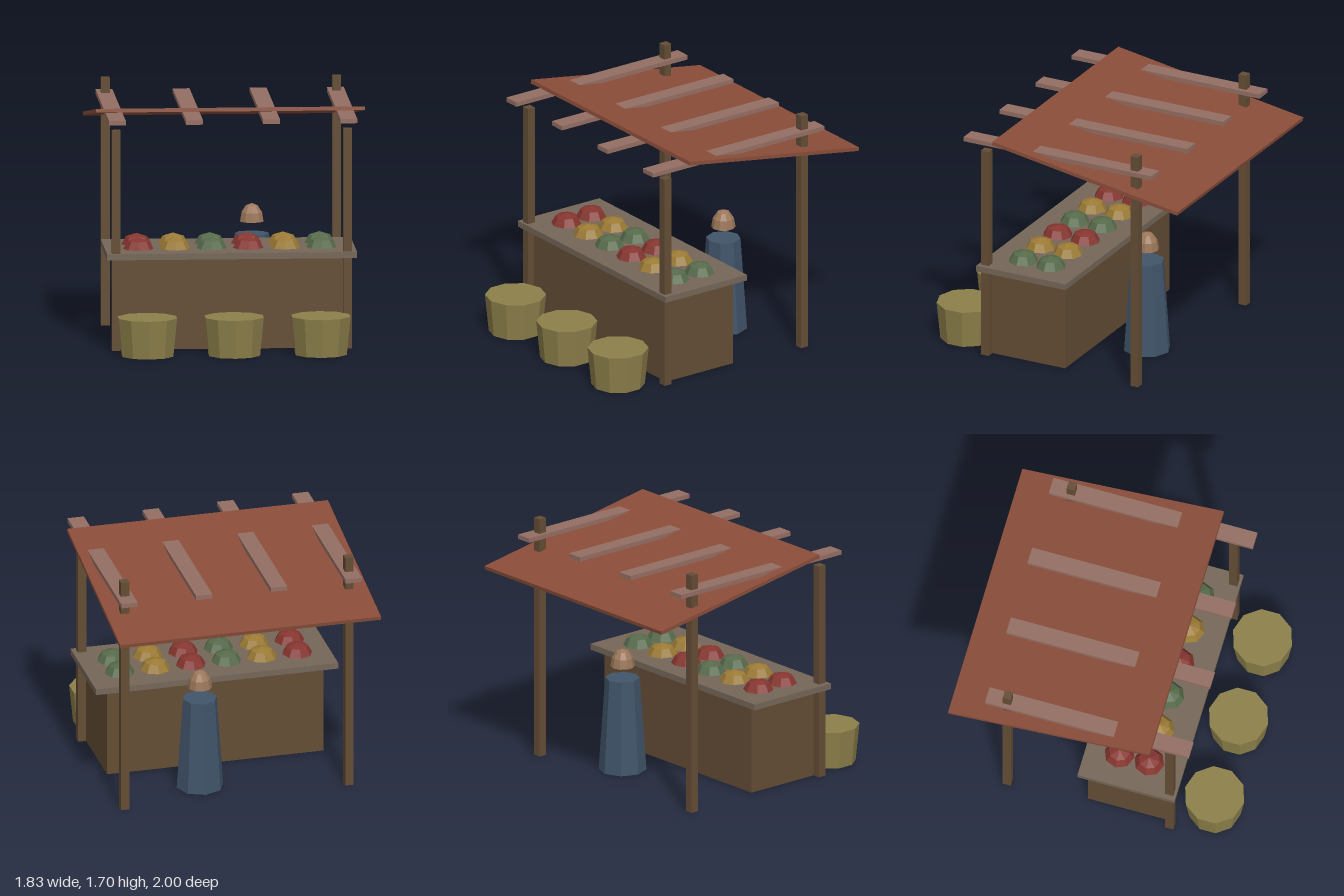
import * as THREE from 'three';

const mat = (color) => new THREE.MeshStandardMaterial({ color, flatShading: true, side: THREE.DoubleSide });

export function createModel() {
  const group = new THREE.Group();
  const wood = mat(0x644d35), plank = mat(0x756658), batten = mat(0x946e63);
  const awning = mat(0x8a4d39), wicker = mat(0x8c7f4a), cloth = mat(0x40546a), skin = mat(0x9b7659);
  const produce = [mat(0x86352f), mat(0x9b7a34), mat(0x566a4a)];

  const add = (name, geometry, material, x, y, z) => {
    const mesh = new THREE.Mesh(geometry, material);
    mesh.name = name;
    mesh.position.set(x, y, z);
    group.add(mesh);
    return mesh;
  };
  const box = (name, w, h, d, material, x, y, z) =>
    add(name, new THREE.BoxGeometry(w, h, d), material, x, y, z);
  // Faceted turned form, profile given from bottom to top
  const turned = (name, profile, sides, material, x, y, z) =>
    add(name, new THREE.LatheGeometry(profile.map(([r, h]) => new THREE.Vector2(r, h)), sides), material, x, y, z);

  // Counter and its overhanging top
  box('counter', 1.52, 0.625, 0.565, wood, 0, 0.3125, 0.2275);
  box('counterTop', 1.7, 0.042, 0.685, plank, 0, 0.645, 0.2375);

  // Posts: shorter at the front, taller at the back
  for (const side of [-1, 1]) {
    box('frontPost', 0.058, 1.51, 0.058, wood, side * 0.787, 0.755, 0.533);
    box('backPost', 0.058, 1.7, 0.058, wood, side * 0.787, 0.85, -0.614);
  }

  // Level battens passing through the sloping roof
  for (const x of [-0.787, -0.262, 0.262, 0.787])
    box('roofBatten', 0.115, 0.031, 1.44, batten, x, 1.581, -0.04);
  const roof = box('roof', 1.83, 0.026, 1.44, awning, 0, 1.511, -0.288);
  roof.rotation.x = -0.164;

  // Two rows of produce mounds
  const mound = [[0.104, 0], [0.073, 0.054], [0, 0.077]];
  for (let i = 0; i < 6; i++)
    for (const z of [0.337, 0.127])
      turned('produceMound', mound, 8, produce[i % 3], (i - 2.5) * 0.249, 0.666, z);

  // Baskets, closed on top and open underneath
  for (const x of [-0.59, 0, 0.59])
    turned('basket', [[0.182, 0], [0.208, 0.263], [0, 0.263]], 10, wicker, x, 0, 0.789);

  // Stallkeeper: tapered robe and a domed head
  turned('robe', [[0.163, 0], [0.118, 0.656], [0, 0.656]], 8, cloth, 0.195, 0, -0.385);
  turned('head', [[0.083, 0], [0.072, 0.063], [0.042, 0.108], [0, 0.125]], 10, skin, 0.195, 0.737, -0.385);

  return group;
}
